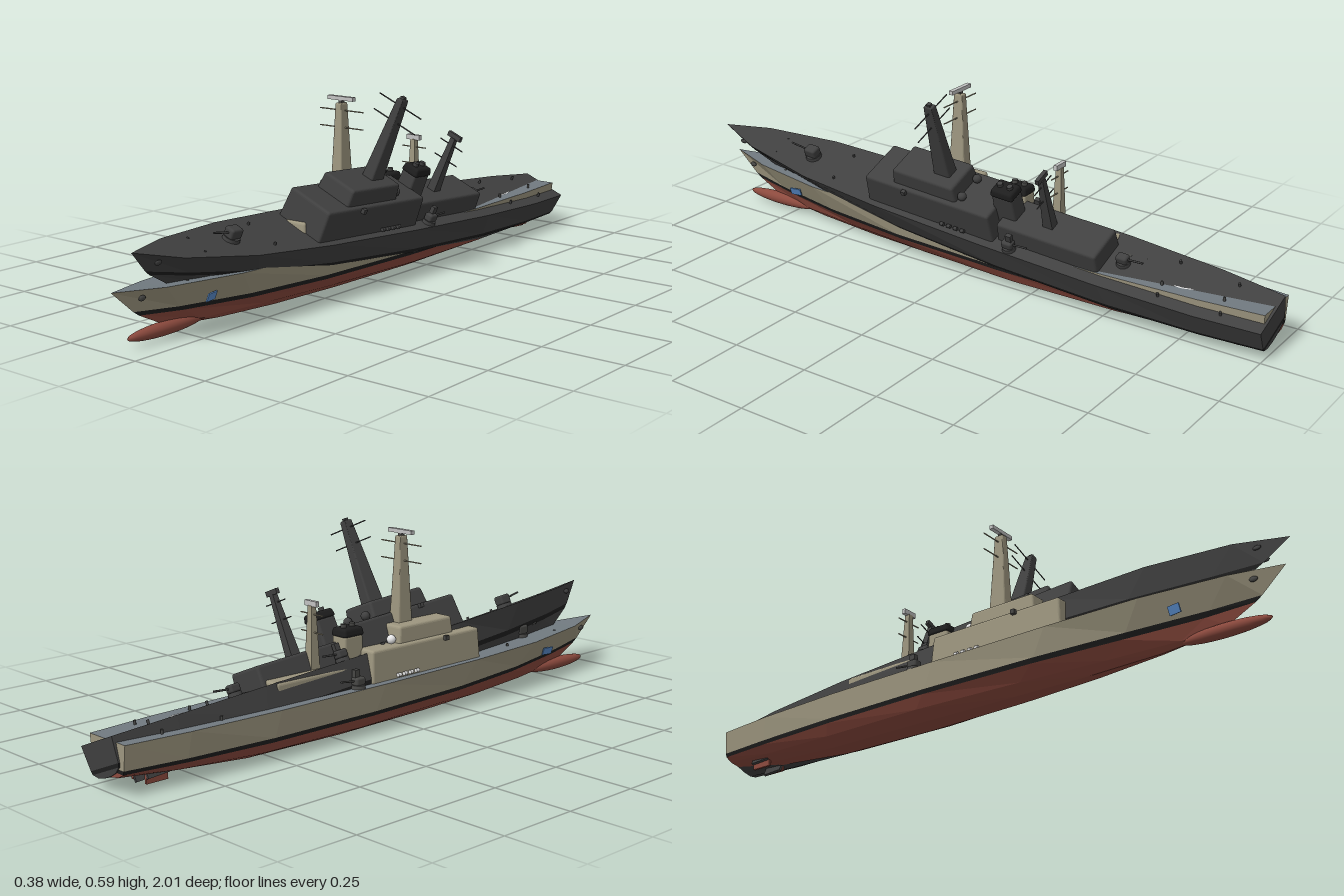
import * as THREE from 'three';
import { RoundedBoxGeometry } from 'three/addons/geometries/RoundedBoxGeometry.js';

const mat = (name, color, side = THREE.FrontSide) => {
  const m = new THREE.MeshStandardMaterial({ color, side });
  m.name = name;
  return m;
};

// Hull stations, bow to stern: [z, half widths, heights]
// Levels: deck edge, stripe top, stripe bottom, chine, keel
const STATIONS = [
  [1, [0, 0, 0, 0, 0], [0.165, 0.097, 0.083, 0.04, 0.025]],
  [0.85, [0.05, 0.025, 0.02, 0.013, 0.004], [0.157, 0.085, 0.07, 0.028, 0.012]],
  [0.6, [0.09, 0.062, 0.056, 0.035, 0.015], [0.15, 0.075, 0.06, 0.024, 0.003]],
  [0.3, [0.105, 0.09, 0.085, 0.06, 0.027], [0.146, 0.07, 0.056, 0.022, 0]],
  [-0.1, [0.11, 0.105, 0.101, 0.082, 0.036], [0.144, 0.068, 0.055, 0.022, 0]],
  [-0.5, [0.109, 0.103, 0.1, 0.078, 0.033], [0.144, 0.068, 0.055, 0.024, 0.004]],
  [-0.8, [0.097, 0.088, 0.084, 0.06, 0.02], [0.144, 0.07, 0.058, 0.035, 0.022]],
  [-1, [0.078, 0.07, 0.066, 0.045, 0.015], [0.144, 0.073, 0.062, 0.05, 0.045]],
];
const STEM_Z = [1, 0.925, 0.905, 0.82, 0.75]; // raked stem, per level

function hullPoint(i, k, s) {
  const [z, w, y] = STATIONS[i];
  return [s * w[k], y[k], -1 + ((z + 1) / 2) * (STEM_Z[k] + 1)];
}

function quadGeometry(quads) {
  const pos = [];
  for (const [a, b, c, d] of quads) pos.push(...a, ...b, ...c, ...a, ...c, ...d);
  const g = new THREE.BufferGeometry();
  g.setAttribute('position', new THREE.Float32BufferAttribute(pos, 3));
  g.computeVertexNormals();
  return g;
}

// Both sides and the transom between two levels
function hullBand(k) {
  const q = [];
  const last = STATIONS.length - 1;
  for (let i = 0; i < last; i++) {
    for (const s of [1, -1]) {
      const c = [hullPoint(i, k, s), hullPoint(i, k + 1, s), hullPoint(i + 1, k + 1, s), hullPoint(i + 1, k, s)];
      q.push(s > 0 ? c : c.reverse());
    }
  }
  q.push([hullPoint(last, k, -1), hullPoint(last, k, 1), hullPoint(last, k + 1, 1), hullPoint(last, k + 1, -1)]);
  return q;
}

// Horizontal skin across one level
function hullCap(k, up) {
  const q = [];
  for (let i = 0; i < STATIONS.length - 1; i++) {
    const c = [hullPoint(i, k, -1), hullPoint(i, k, 1), hullPoint(i + 1, k, 1), hullPoint(i + 1, k, -1)];
    q.push(up ? c : c.reverse());
  }
  return q;
}

// Narrows a geometry towards its top
function taper(g, h, sx, sz = sx) {
  const p = g.attributes.position;
  for (let i = 0; i < p.count; i++) {
    const t = p.getY(i) / h + 0.5;
    p.setX(i, p.getX(i) * (1 + (sx - 1) * t));
    p.setZ(i, p.getZ(i) * (1 + (sz - 1) * t));
  }
  g.computeVertexNormals();
  return g;
}

function buildShip(name, c, complete) {
  const ship = new THREE.Group();
  ship.name = name;
  const add = (part, geo, m, x = 0, y = 0, z = 0) => {
    const mesh = new THREE.Mesh(geo, m);
    mesh.name = part;
    mesh.position.set(x, y, z);
    ship.add(mesh);
    return mesh;
  };
  const box = (w, h, d) => new THREE.BoxGeometry(w, h, d);
  // Rounded block given by its bottom, top, front and back
  const house = (part, w, y0, y1, z0, z1, sx, sz, m = c.hull) =>
    add(part, taper(new RoundedBoxGeometry(w, y1 - y0, z1 - z0, 2, 0.008), y1 - y0, sx, sz), m, 0, (y0 + y1) / 2, (z0 + z1) / 2);

  // Hull
  add('topsides', quadGeometry(hullBand(0)), c.hull);
  add('waterlineStripe', quadGeometry(hullBand(1)), c.black);
  add('bottom', quadGeometry([...hullBand(2), ...hullBand(3), ...hullCap(4, false)]), c.bottom);
  add('deck', quadGeometry(hullCap(0, true)), c.deck);
  for (const s of [1, -1]) {
    add('rudder', box(0.008, 0.045, 0.07), c.bottom, s * 0.03, 0.03, -0.87);
    const anchor = add('anchor', new THREE.SphereGeometry(0.008, 10, 8), c.metal, s * 0.024, 0.137, 0.915);
    anchor.scale.set(0.6, 1, 1.6);
  }

  // Superstructure
  house('mainDeckhouse', 0.17, 0.13, 0.24, -0.13, 0.34, 0.93, 0.97);
  house('bridge', 0.13, 0.23, 0.29, 0.0, 0.235, 0.93, 0.94);
  house('aftDeckhouse', 0.135, 0.13, 0.205, -0.48, -0.135, 0.94, 0.98);
  house('funnel', 0.062, 0.14, 0.285, -0.19, -0.11, 0.9, 0.9);
  house('funnelCap', 0.064, 0.28, 0.306, -0.19, -0.11, 0.85, 0.9, c.black);
  for (const s of [1, -1]) {
    add('funnelPipe', new THREE.CylinderGeometry(0.009, 0.009, 0.014, 12), c.metal, 0, 0.309, -0.15 + s * 0.017);
    add('satelliteDome', new THREE.SphereGeometry(0.014, 16, 12), c.white, s * 0.042, 0.252, -0.012);
    add('bridgeLamp', box(0.012, 0.014, 0.014), c.metal, s * 0.086, 0.233, 0.18);
    for (let i = 0; i < 4; i++) {
      const raft = add('lifeRaft', new THREE.CylinderGeometry(0.006, 0.006, 0.012, 10), c.white, s * 0.09, 0.155, 0.05 - i * 0.025);
      raft.rotation.x = Math.PI / 2;
    }
  }

  // Masts, yards and radars
  const yard = (half, y, z) => {
    const bar = add('yard', new THREE.CylinderGeometry(0.002, 0.002, half * 2, 6), c.hull, 0, y, z);
    bar.rotation.z = Math.PI / 2;
  };
  add('mainMast', taper(new RoundedBoxGeometry(0.044, 0.27, 0.06, 2, 0.006), 0.27, 0.52, 0.5), c.hull, 0, 0.415, 0.07);
  add('mainMastCap', box(0.013, 0.008, 0.013), c.metal, 0, 0.553, 0.07);
  yard(0.083, 0.527, 0.07);
  yard(0.083, 0.475, 0.07);
  add('aftMast', taper(box(0.03, 0.19, 0.034), 0.19, 0.55, 0.5), c.hull, 0, 0.295, -0.29);
  yard(0.046, 0.365, -0.29);
  yard(0.046, 0.312, -0.29);
  add('aftRadar', box(0.05, 0.016, 0.012), c.radar, 0, 0.396, -0.29);

  // Guns
  const gun = (part, x, y, z, k, dir) => {
    add(part + 'Base', new THREE.CylinderGeometry(0.022 * k, 0.024 * k, 0.012, 16), c.metal, x, y + 0.006, z);
    add(part + 'Turret', new RoundedBoxGeometry(0.032 * k, 0.028 * k, 0.04 * k, 2, 0.007), c.metal, x, y + 0.012 + 0.012 * k, z);
    const barrel = add(part + 'Barrel', new THREE.CylinderGeometry(0.003, 0.003, 0.06 * k, 8), c.metal, x, y + 0.015 + 0.014 * k, z + dir * 0.045 * k);
    barrel.rotation.x = Math.PI / 2 - dir * 0.12;
  };
  gun('foreGun', 0, 0.149, 0.625, 1.1, 1);
  gun('aftGun', 0, 0.143, -0.53, 0.9, -1);
  for (const s of [1, -1]) {
    gun('sideGun', s * 0.087, 0.143, -0.19, 0.9, -1);
    add('sideGunPost', box(0.014, 0.05, 0.018), c.metal, s * 0.083, 0.175, -0.195);
  }
  // Deck fittings
  for (const [x, z] of [[0.035, 0.76], [0.055, 0.5], [0.07, -0.68], [0.06, -0.87]]) {
    for (const s of [1, -1]) add('bollard', new THREE.CylinderGeometry(0.004, 0.004, 0.012, 8), c.metal, s * x, 0.15, z);
  }

  if (complete) {
    // Bow bulb, top radar and painted marks
    const bulb = add('bowBulb', new THREE.SphereGeometry(0.02, 20, 14), c.bottom, 0, 0.028, 0.81);
    bulb.scale.z = 7;
    add('mainRadar', box(0.096, 0.012, 0.014), c.radar, 0, 0.563, 0.07);
    const ring = add('landingCircle', new THREE.RingGeometry(0.054, 0.06, 40), c.white, 0, 0.1455, -0.73);
    ring.rotation.x = -Math.PI / 2;
    for (const s of [1, -1]) {
      const badge = add('bowBadge', box(0.004, 0.026, 0.038), c.blue, s * 0.0605, 0.1, 0.695);
      badge.rotation.set(0, s * 0.15, -s * 0.38);
    }
  }
  return ship;
}

export function createModel() {
  const black = mat('black', 0x1e1e1e);
  const metal = mat('gunMetal', 0x484846);
  const shade = mat('darkGrey', 0x404040);
  const painted = {
    black, metal,
    hull: mat('beige', 0x9d967f),
    bottom: mat('hullRed', 0x8c4a3e),
    deck: mat('deckGrey', 0x717a80),
    radar: mat('lightGrey', 0xc2c2c2),
    white: mat('white', 0xf0f0f0),
    blue: mat('blue', 0x5b8fd0),
  };
  const dark = { black, metal: shade, hull: shade, bottom: shade, deck: shade, radar: shade, white: shade };

  const model = new THREE.Group();
  model.name = 'twinWarships';
  const upright = buildShip('uprightShip', painted, true);
  upright.position.x = -0.083;
  // Dark ship, heeled over and pitched bow up
  const heeled = buildShip('heeledShip', dark, false);
  heeled.rotation.set(-0.064, 0.01, -0.39);
  heeled.position.set(-0.089, 0.063, -0.001);
  model.add(upright, heeled);
  return model;
}
